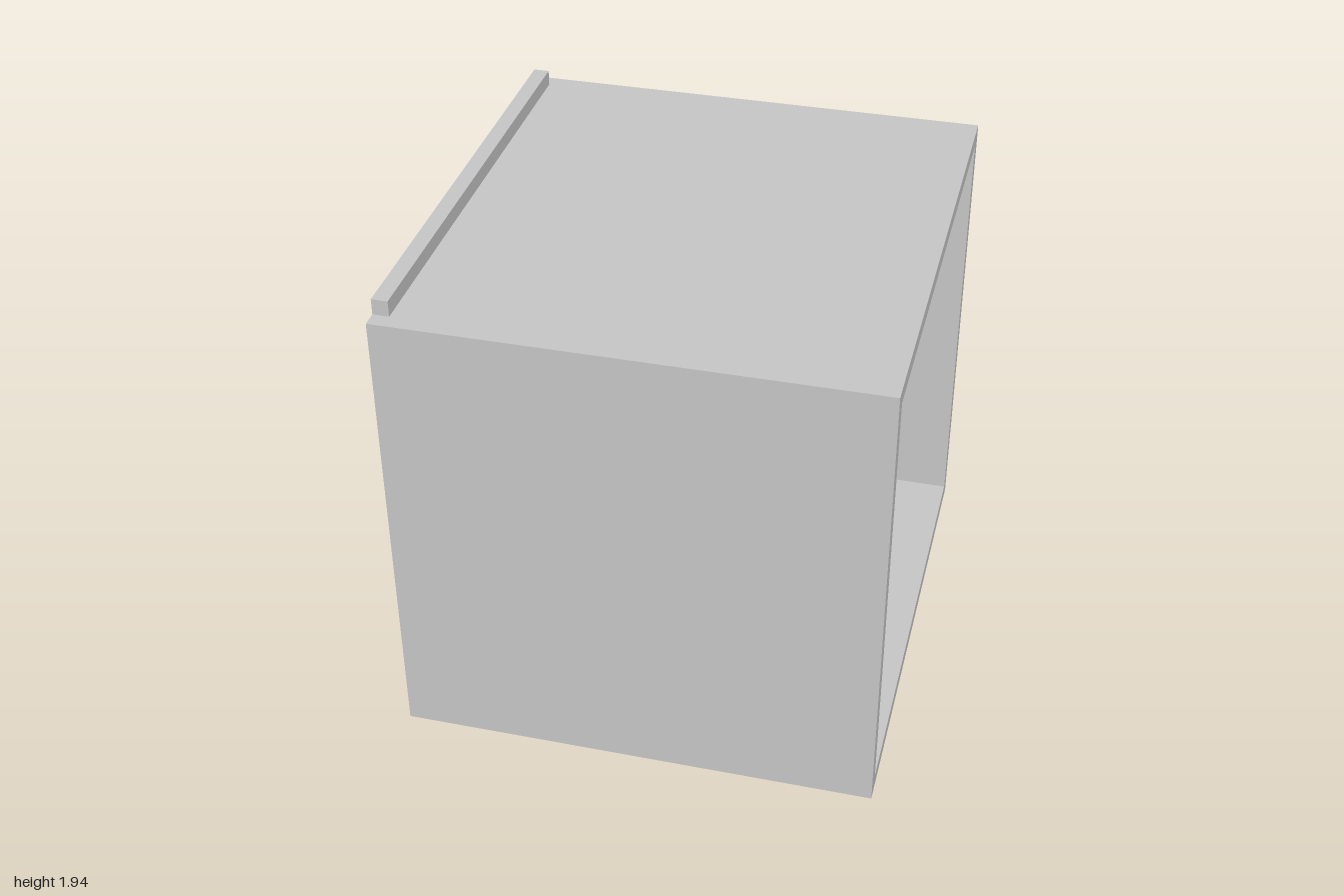
import * as THREE from 'three';

const T = 0.0625; // wall thickness

// Adds a rectangle, centred at (x, y), to a Shape or Path
function rect(path, x, y, w, h) {
  path.moveTo(x - w / 2, y - h / 2);
  path.lineTo(x + w / 2, y - h / 2);
  path.lineTo(x + w / 2, y + h / 2);
  path.lineTo(x - w / 2, y + h / 2);
  path.closePath();
  return path;
}

// Rectangle with a rectangular hole, extruded along x; each rectangle is [z, y, width, height]
function ringGeometry(outer, inner, x0, x1) {
  const [oz, oy, ow, oh] = outer;
  const [iz, iy, iw, ih] = inner;
  const shape = rect(new THREE.Shape(), -oz, oy, ow, oh);
  shape.holes.push(rect(new THREE.Path(), -iz, iy, iw, ih));
  const geo = new THREE.ExtrudeGeometry(shape, { depth: x1 - x0, bevelEnabled: false });
  return geo.rotateY(Math.PI / 2).translate(x0, 0, 0);
}

export function createModel() {
  const group = new THREE.Group();
  const plaster = new THREE.MeshStandardMaterial({ color: 0xc4c4c4 });
  plaster.name = 'plaster grey';

  const add = (name, geometry, x = 0, y = 0, z = 0) => {
    const mesh = new THREE.Mesh(geometry, plaster);
    mesh.name = name;
    mesh.position.set(x, y, z);
    group.add(mesh);
  };

  const X = 0.9375, H = 1.875, midY = H / 2;
  const winZ = 0.451, winY = 1.092;
  const outline = [0, midY, 2, H];
  const frameOuter = [winZ, winY, 0.438, 0.78];
  const frameInner = [winZ, winY, 0.35, 0.69];

  // Floor, ceiling and two side walls, open towards +x
  add('roomShell', ringGeometry(outline, [0, midY, 2 - 2 * T, H - 2 * T], -X + T, X));

  // Wall with the window opening
  add('windowWall', ringGeometry(outline, frameOuter, -X, -X + T));

  // Window frame, slightly proud of the wall on both faces
  add('windowFrame', ringGeometry(frameOuter, frameInner, -X - 0.005, -X + T + 0.005));

  // Glazing bars
  const barX = -X + T / 2;
  add('verticalBar', new THREE.BoxGeometry(0.03, 0.69, 0.02), barX, winY, winZ);
  add('horizontalBar', new THREE.BoxGeometry(0.03, 0.02, 0.35), barX, winY, winZ);

  // Raised strip along the roof edge
  add('roofLedge', new THREE.BoxGeometry(T, T, 2 - 2 * T), -X + T / 2, H + T / 2, 0);

  return group;
}
